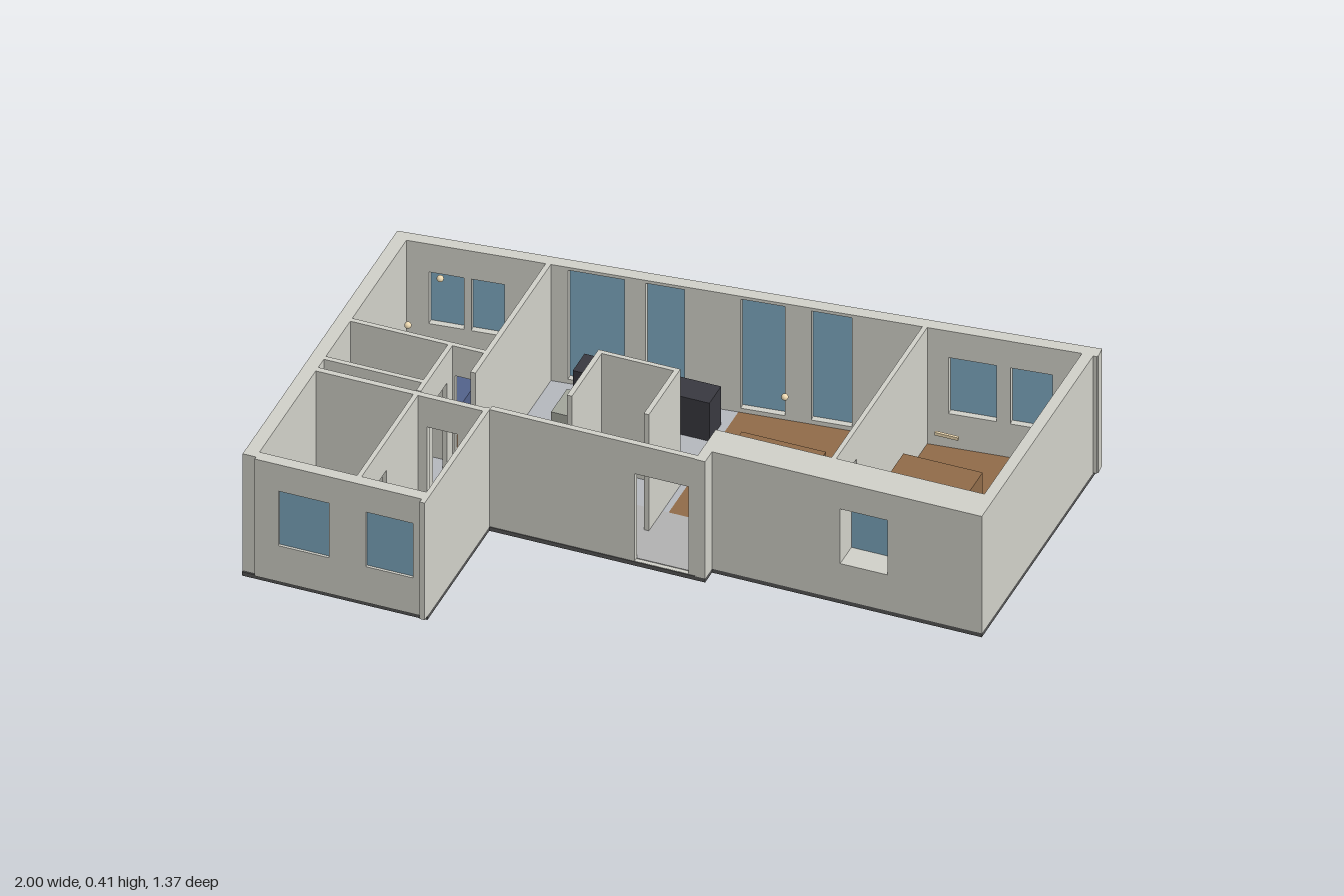
import * as THREE from 'three';

const mat = (color) => new THREE.MeshStandardMaterial({ color });
const WALL = mat(0xcfcfc7), SLAB = mat(0x555555), WOOD = mat(0x8f6a48), TILE = mat(0xb3b6bc),
  HALL = mat(0xb0b0b0), GLASS = mat(0x7ca6bd), DARK = mat(0x38383f), STONE = mat(0xa1a49a),
  BED = mat(0x52618a), LAMP = mat(0xf0dcb4);
const BASE = 0.013, TOP = 0.41;

export function createModel() {
  const root = new THREE.Group();

  const add = (name, geo, material, x = 0, y = 0, z = 0, parent = root) => {
    const mesh = new THREE.Mesh(geo, material);
    mesh.name = name;
    mesh.position.set(x, y, z);
    parent.add(mesh);
    return mesh;
  };

  // Block given by its extents
  const block = (name, x0, x1, y0, y1, z0, z1, material) =>
    add(name, new THREE.BoxGeometry(x1 - x0, y1 - y0, z1 - z0), material,
      (x0 + x1) / 2, (y0 + y1) / 2, (z0 + z1) / 2);

  // Flat plate from a plan outline of [x, z] points
  const plate = (name, points, y0, y1, material) => {
    const shape = new THREE.Shape(points.map(([x, z]) => new THREE.Vector2(x, -z)));
    const geo = new THREE.ExtrudeGeometry(shape, { depth: y1 - y0, bevelEnabled: false });
    add(name, geo.rotateX(-Math.PI / 2), material, 0, y0, 0);
  };

  const rect = (Type, x0, x1, y0, y1) => new Type([
    new THREE.Vector2(x0, y0), new THREE.Vector2(x1, y0),
    new THREE.Vector2(x1, y1), new THREE.Vector2(x0, y1)]);

  // Wall along a plan line, thickened to the right of its direction.
  // Openings are [start, end, bottom, top, glassDepth]; no depth leaves a doorway.
  const wall = (name, x0, z0, x1, z1, thick, openings = []) => {
    const group = new THREE.Group();
    group.name = name;
    group.position.set(x0, 0, z0);
    group.rotation.y = -Math.atan2(z1 - z0, x1 - x0);
    const shape = rect(THREE.Shape, 0, Math.hypot(x1 - x0, z1 - z0), BASE, TOP);
    for (const [a, b, lo, hi, depth] of openings) {
      shape.holes.push(rect(THREE.Path, a, b, lo, hi));
      if (depth !== undefined) {
        add('windowPane', new THREE.BoxGeometry(b - a, hi - lo, 0.006), GLASS,
          (a + b) / 2, (lo + hi) / 2, depth, group);
      }
    }
    add('wallPanel', new THREE.ExtrudeGeometry(shape, { depth: thick, bevelEnabled: false }),
      WALL, 0, 0, 0, group);
    root.add(group);
  };
  const door = (a, b) => [a, b, BASE + 0.001, 0.31];

  // Back wall line, inner side
  const backZ = (x) => -0.436 - 0.11 * (x + 1);

  // Base slab
  plate('baseSlab', [[-1, -0.47], [0.99, -0.69], [0.99, 0.16], [0.19, 0.16], [0.19, 0.21],
    [-0.45, 0.21], [-0.45, 0.66], [-1, 0.66]], 0, BASE, SLAB);

  // Floors
  const roomFloor = (name, x0, x1, z1, material) => plate(name,
    [[x0, backZ(x0)], [x1, backZ(x1)], [x1, z1], [x0, z1]], BASE, 0.016, material);
  roomFloor('leftBedroomFloor', -0.96, -0.56, -0.04, WOOD);
  roomFloor('kitchenFloor', -0.555, -0.018, -0.035, TILE);
  plate('livingRoomFloor', [[-0.018, backZ(-0.018)], [0.51, backZ(0.51)], [0.51, 0.06],
    [0.16, 0.06], [0.16, -0.035], [-0.018, -0.035]], BASE, 0.016, WOOD);
  roomFloor('rightBedroomFloor', 0.51, 0.96, 0.06, WOOD);
  block('hallFloor', -0.56, 0.16, BASE, 0.016, -0.035, 0.195, HALL);
  block('bathFloor', -0.96, -0.56, BASE, 0.016, -0.04, 0.21, TILE);
  block('wingFloor', -0.96, -0.46, BASE, 0.016, 0.21, 0.64, TILE);

  // Slanted back wall with windows and tall glazed doors
  const backOpenings = [[-0.9, -0.8, 0.14, 0.315], [-0.78, -0.685, 0.14, 0.315],
    [-0.505, -0.345, 0.03, 0.4], [-0.285, -0.175, 0.03, 0.4], [-0.015, 0.11, 0.03, 0.4],
    [0.185, 0.3, 0.03, 0.4], [0.575, 0.71, 0.13, 0.32], [0.75, 0.87, 0.13, 0.32]];
  wall('backWall', -1, -0.47, 1, -0.69, 0.036,
    backOpenings.map(([a, b, lo, hi]) => [(a + 1) * 1.006, (b + 1) * 1.006, lo, hi, 0.014]));

  // Outer walls
  wall('leftOuterWall', -0.96, -0.469, -0.96, 0.655, 0.04);
  wall('rightOuterWall', 0.99, -0.685, 0.99, 0.16, 0.033);
  block('backRightCorner', 0.96, 1, BASE, TOP, -0.685, -0.65, WALL);
  wall('frontRightWall', 0.16, 0.06, 0.96, 0.06, 0.1, [[0.41, 0.55, 0.135, 0.32, 0.015]]);
  block('entranceReturn', 0.16, 0.19, BASE, TOP, 0.06, 0.21, WALL);
  wall('entranceWall', -0.45, 0.19, 0.16, 0.19, 0.018, [door(0.43, 0.59)]);
  wall('wingRightWall', -0.45, 0.2, -0.45, 0.68, 0.015);
  wall('wingFrontWall', -0.96, 0.63, -0.464, 0.63, 0.035,
    [[0.07, 0.22, 0.135, 0.32, 0.024], [0.33, 0.47, 0.135, 0.32, 0.024]]);

  // Partitions of the left rooms
  wall('bedroomSideWall', -0.55, backZ(-0.55) - 0.005, -0.55, 0.065, 0.015);
  wall('bedroomFrontWall', -0.96, -0.045, -0.56, -0.045, 0.015, [door(0.31, 0.385)]);
  wall('bathSideWall', -0.657, -0.03, -0.657, 0.2, 0.014, [door(0.04, 0.14)]);
  wall('closetWall', -0.96, 0.147, -0.67, 0.147, 0.015);
  wall('wingBackWall', -0.96, 0.203, -0.45, 0.203, 0.018, [door(0.33, 0.42)]);
  wall('wingDividerWall', -0.657, 0.22, -0.657, 0.63, 0.014, [door(0.23, 0.33)]);

  // U-shaped pantry in the middle
  wall('pantryLeftWall', -0.264, -0.165, -0.264, 0.065, 0.015);
  wall('pantryRightWall', -0.036, -0.165, -0.036, 0.065, 0.015);
  wall('pantryBackWall', -0.264, -0.165, -0.051, -0.165, 0.014);

  // Right bedroom partition
  wall('rightBedroomWall', 0.518, backZ(0.518) - 0.005, 0.518, 0.06, 0.014, [door(0.52, 0.64)]);

  // Kitchen
  block('kitchenCounter', -0.445, -0.04, 0.016, 0.145, -0.47, -0.385, DARK);
  block('kitchenIsland', -0.43, -0.1, 0.016, 0.14, -0.305, -0.19, STONE);

  // Left bedroom furniture
  block('bedMattress', -0.955, -0.7, 0.016, 0.085, -0.34, -0.08, BED);
  block('bedHeadboard', -0.955, -0.7, 0.016, 0.14, -0.365, -0.34, WOOD);
  block('nightstand', -0.69, -0.615, 0.016, 0.09, -0.345, -0.27, WOOD);

  // Dining table on four legs
  block('tableTop', 0.08, 0.33, 0.112, 0.122, -0.325, -0.13, WOOD);
  for (const x of [0.1, 0.298]) for (const z of [-0.31, -0.157])
    block('tableLeg', x, x + 0.012, 0.016, 0.112, z, z + 0.012, DARK);

  // Right bedroom furniture
  block('desk', 0.625, 0.84, 0.016, 0.12, -0.305, -0.19, WOOD);
  block('wardrobe', 0.625, 0.86, 0.016, 0.305, -0.165, -0.065, WOOD);

  // Lamps
  const bulb = new THREE.SphereGeometry(0.01, 16, 12);
  for (const [x, y, z] of [[-0.83, 0.365, -0.365], [-0.83, 0.365, -0.13],
    [-0.67, 0.1, -0.305], [0.255, 0.365, -0.21]]) add('lampBulb', bulb, LAMP, x, y, z);
  block('tubeLamp', 0.7, 0.77, 0.36, 0.37, -0.214, -0.206, LAMP);

  return root;
}
